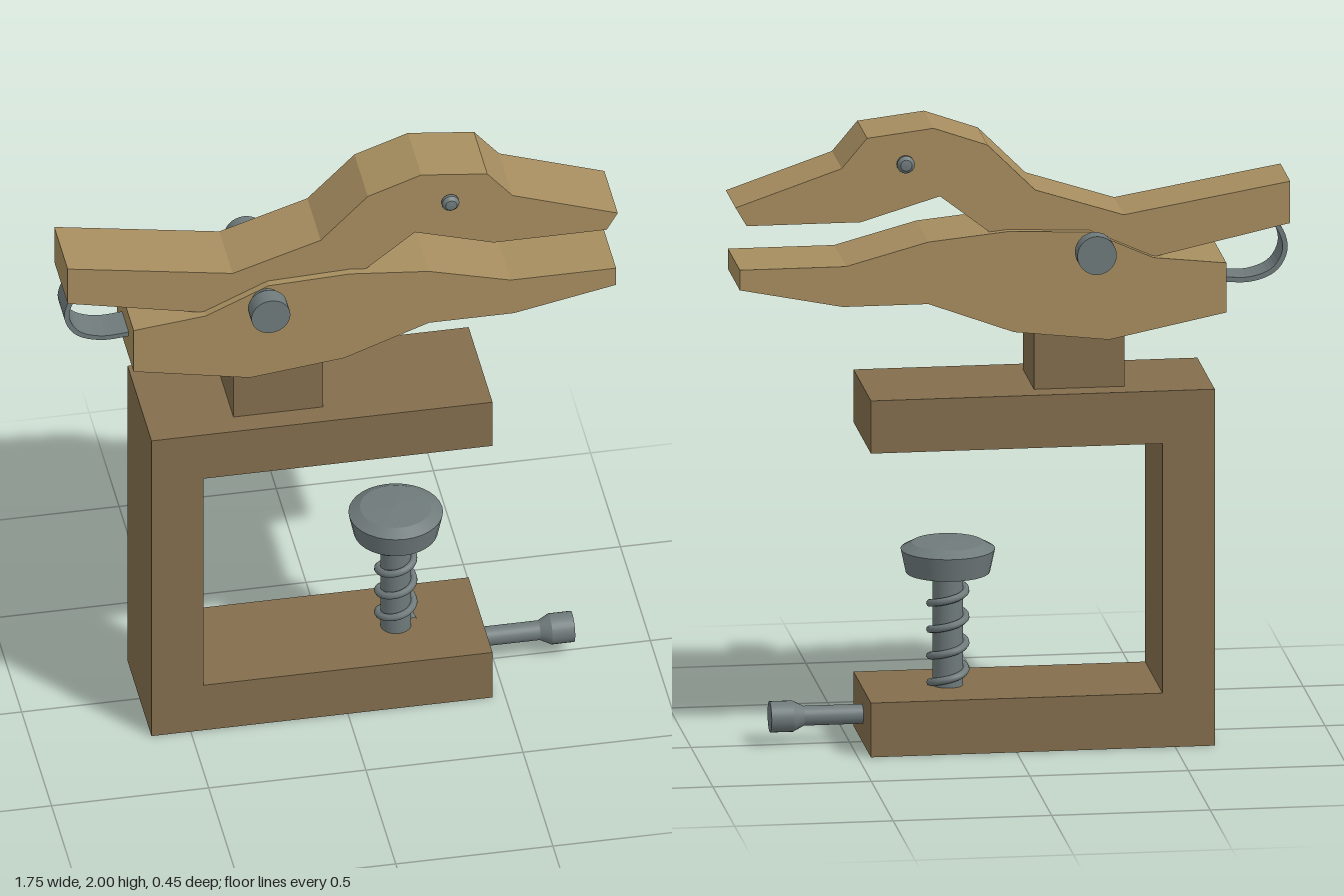
import * as THREE from 'three';

const mat = (name, color) => new THREE.MeshStandardMaterial({ name, color });

export function createModel() {
  const jawWood = mat('light wood', 0xa68d5f);
  const frameWood = mat('dark wood', 0x836e4d);
  const metal = mat('grey metal', 0x6f7a7b);
  const model = new THREE.Group();
  model.name = 'clamp';

  const add = (name, geometry, material) => {
    const mesh = new THREE.Mesh(geometry, material);
    mesh.name = name;
    model.add(mesh);
    return mesh;
  };
  // Flat outline extruded evenly about z = 0
  const slab = (points, halfDepth) => {
    const shape = new THREE.Shape(points.map(([x, y]) => new THREE.Vector2(x, y)));
    return new THREE.ExtrudeGeometry(shape, { depth: halfDepth * 2, bevelEnabled: false })
      .translate(0, 0, -halfDepth);
  };
  // Turned part with crisp rings: each [radius, height] pair becomes its own band
  const turned = (name, profile, segments = 28) => {
    const group = new THREE.Group();
    group.name = name;
    for (let i = 0; i < profile.length - 1; i++) {
      const band = profile.slice(i, i + 2).map(([r, h]) => new THREE.Vector2(r, h));
      const mesh = new THREE.Mesh(new THREE.LatheGeometry(band, segments), metal);
      mesh.name = name + 'Band';
      group.add(mesh);
    }
    model.add(group);
    return group;
  };

  // C-shaped frame and the block under the jaws
  add('frame', slab([[-0.625, 0], [0.46, 0], [0.46, 0.175], [-0.46, 0.175],
    [-0.46, 0.98], [0.46, 0.98], [0.46, 1.15], [-0.625, 1.15]], 0.2), frameWood);
  add('neckBlock', new THREE.BoxGeometry(0.285, 0.23, 0.25).translate(-0.2075, 1.26, 0), frameWood);

  // Jaws
  add('lowerJaw', slab([[-0.67, 1.38], [-0.3, 1.305], [0, 1.34], [0.27, 1.44], [0.54, 1.44],
    [0.865, 1.505], [0.865, 1.57], [0.53, 1.57], [0.27, 1.64], [0.02, 1.665],
    [-0.24, 1.655], [-0.44, 1.565], [-0.67, 1.54]], 0.137), jawWood);
  add('upperJaw', slab([[-0.875, 1.655], [-0.44, 1.56], [-0.1, 1.58], [0.075, 1.66], [0.23, 1.78],
    [0.48, 1.705], [0.84, 1.705], [0.875, 1.765], [0.54, 1.88], [0.46, 1.975], [0.25, 2.0],
    [0.08, 1.94], [-0.07, 1.79], [-0.35, 1.7], [-0.875, 1.79]], 0.112), jawWood);

  // Bent strip spring joining the jaw handles
  const bend = new THREE.CatmullRomCurve3([[-0.8, 1.66], [-0.845, 1.63], [-0.867, 1.56],
    [-0.835, 1.495], [-0.76, 1.464], [-0.65, 1.468]].map(([x, y]) => new THREE.Vector3(x, y, 0)));
  const outer = [], inner = [];
  for (let i = 0; i <= 24; i++) {
    const p = bend.getPoint(i / 24), t = bend.getTangent(i / 24);
    outer.push([p.x + t.y * 0.008, p.y - t.x * 0.008]);
    inner.unshift([p.x - t.y * 0.008, p.y + t.x * 0.008]);
  }
  add('stripSpring', slab([...outer, ...inner], 0.055), metal);

  // Pivot bolts and eye studs on both sides
  for (const side of [1, -1]) {
    const pivot = turned('pivotBolt', [[0.045, 0], [0.045, 0.145], [0.062, 0.168],
      [0.062, 0.226], [0, 0.226]]);
    pivot.position.set(-0.25, 1.6, 0);
    pivot.rotation.x = side * Math.PI / 2;
    const eye = turned('eyeStud', [[0.019, 0.1], [0.019, 0.115], [0.028, 0.12],
      [0.028, 0.131], [0.018, 0.142], [0, 0.144]], 16);
    eye.position.set(0.34, 1.89, 0);
    eye.rotation.x = side * Math.PI / 2;
  }

  // Bolt in the end of the lower arm
  const endBolt = turned('endBolt', [[0.031, 0.4], [0.031, 0.645], [0.049, 0.68],
    [0.049, 0.752], [0, 0.752]]);
  endBolt.position.y = 0.09;
  endBolt.rotation.z = -Math.PI / 2;

  // Clamping screw with its pad
  const screw = turned('clampScrew', [[0.048, 0.15], [0.048, 0.54], [0.132, 0.54],
    [0.148, 0.615], [0.112, 0.635], [0, 0.642]], 32);
  screw.position.x = 0.19;

  // Thread coil round the screw
  const coil = [];
  for (let i = 0; i <= 96; i++) {
    const a = i / 96 * Math.PI * 8;
    coil.push(new THREE.Vector3(0.19 + 0.056 * Math.cos(a), 0.185 + 0.34 * i / 96, -0.056 * Math.sin(a)));
  }
  add('threadCoil', new THREE.TubeGeometry(new THREE.CatmullRomCurve3(coil), 160, 0.012, 8), metal);

  return model;
}
